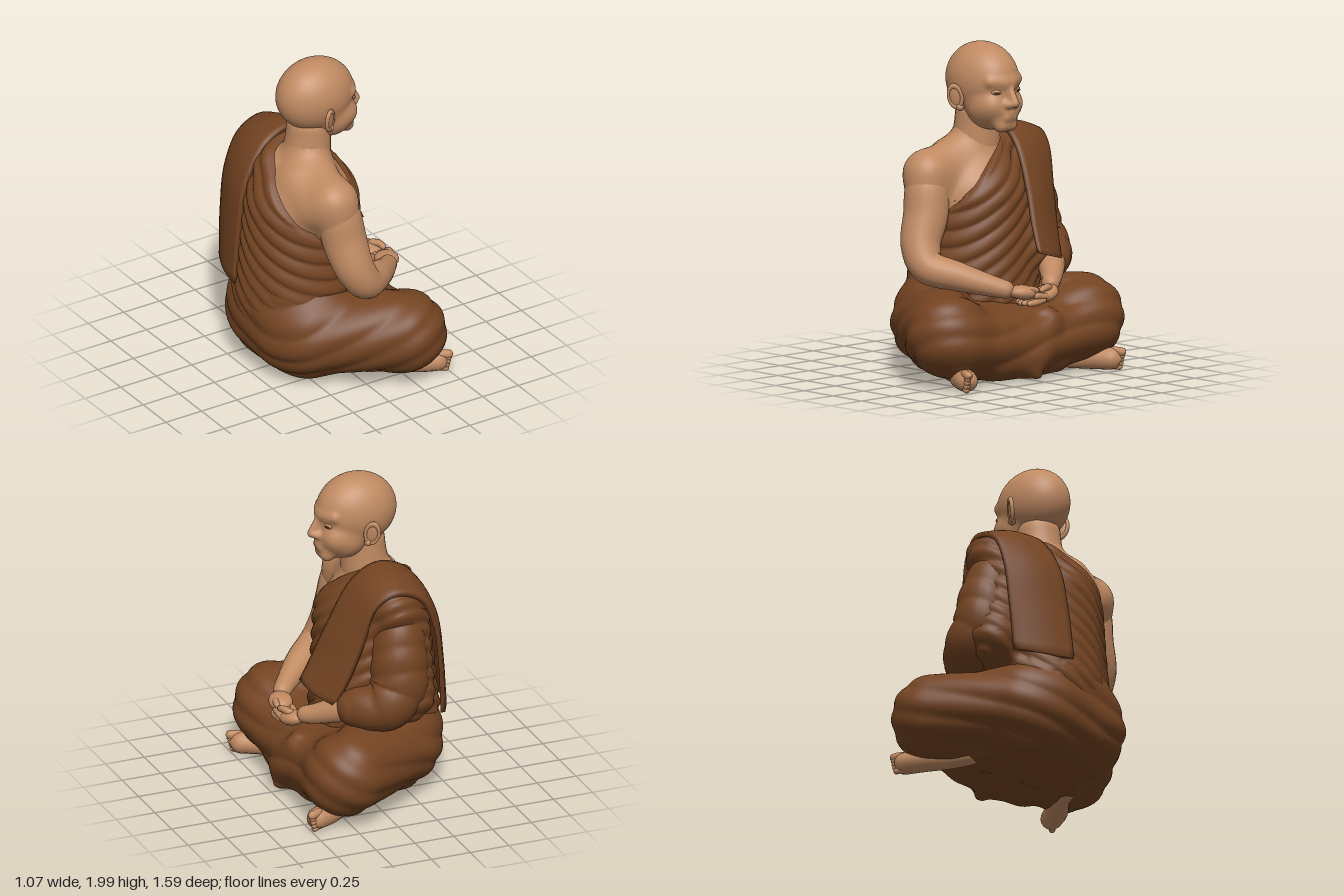
import * as THREE from 'three';
import { mergeVertices } from 'three/addons/utils/BufferGeometryUtils.js';

const skin = new THREE.MeshStandardMaterial({ color: 0xc08a62 });
skin.name = 'skin';
const robe = new THREE.MeshStandardMaterial({ color: 0x744422 });
robe.name = 'robe cloth';
const dark = new THREE.MeshStandardMaterial({ color: 0x3c2415 });
dark.name = 'eye brown';

const V = (x, y, z) => new THREE.Vector3(x, y, z);

// Distance to an ellipsoid (6 numbers) or a tapered capsule (8 numbers)
function distance(p, s) {
  if (s.length === 6) {
    const [x, y, z] = [p.x - s[0], p.y - s[1], p.z - s[2]];
    const k0 = Math.hypot(x / s[3], y / s[4], z / s[5]);
    const k1 = Math.hypot(x / s[3] ** 2, y / s[4] ** 2, z / s[5] ** 2);
    return k1 < 1e-6 ? -Math.min(s[3], s[4], s[5]) : k0 * (k0 - 1) / k1;
  }
  const [ax, ay, az, ar, bx, by, bz, br] = s;
  const dx = bx - ax, dy = by - ay, dz = bz - az;
  const t = THREE.MathUtils.clamp(((p.x - ax) * dx + (p.y - ay) * dy + (p.z - az) * dz) / (dx * dx + dy * dy + dz * dz), 0, 1);
  return Math.hypot(p.x - ax - dx * t, p.y - ay - dy * t, p.z - az - dz * t) - ar - (br - ar) * t;
}

// Smoothly blended body made of simple volumes
const blend = (shapes, k) => p => shapes.reduce((a, s) => {
  const b = distance(p, s), h = Math.max(k - Math.abs(a - b), 0) / k;
  return Math.min(a, b) - h * h * k / 4;
}, 10);

// Walk inwards along a ray until the surface is met
function cast(center, dir, field) {
  let t = 1.3;
  const p = V(0, 0, 0);
  for (let i = 0; i < 90; i++) {
    const d = field(p.copy(center).addScaledVector(dir, t));
    if (Math.abs(d) < 0.0004) break;
    t = Math.max(0.02, t - d * 0.55);
  }
  return p.copy(center).addScaledVector(dir, t);
}

// Sphere shrunk onto a blended body
function blob(name, mat, center, field, detail) {
  let g = new THREE.IcosahedronGeometry(1, detail);
  g.deleteAttribute('uv');
  g.deleteAttribute('normal');
  g = mergeVertices(g, 1e-4);
  const pos = g.attributes.position, d = V(0, 0, 0);
  for (let i = 0; i < pos.count; i++) {
    const p = cast(center, d.fromBufferAttribute(pos, i).normalize(), field);
    pos.setXYZ(i, p.x, p.y, p.z);
  }
  g.computeVertexNormals();
  return named(new THREE.Mesh(g, mat), name);
}

function named(o, name) {
  o.name = name;
  return o;
}

// Closed skin over a row of rings, always wound outwards
function loft(name, mat, rings) {
  const m = rings[0].length, pts = rings.flat(), idx = [];
  for (let i = 0; i < rings.length - 1; i++) for (let j = 0; j < m; j++) {
    const a = i * m + j, b = i * m + (j + 1) % m;
    idx.push(a, b, a + m, b, b + m, a + m);
  }
  [0, rings.length - 1].forEach((r, end) => {
    const c = rings[r].reduce((s, p) => s.add(p), V(0, 0, 0)).divideScalar(m);
    pts.push(c);
    for (let j = 0; j < m; j++) {
      const a = r * m + j, b = r * m + (j + 1) % m;
      idx.push(pts.length - 1, end ? a : b, end ? b : a);
    }
  });
  let vol = 0;
  for (let i = 0; i < idx.length; i += 3) vol += pts[idx[i]].dot(pts[idx[i + 1]].clone().cross(pts[idx[i + 2]]));
  if (vol < 0) idx.reverse();
  const g = new THREE.BufferGeometry().setFromPoints(pts);
  g.setIndex(idx);
  g.computeVertexNormals();
  return named(new THREE.Mesh(g, mat), name);
}

// Round-ended limb through points [x, y, z, radius]; flat squashes its height
function limb(name, mat, path, { flat = 1, n = 26, m = 16, ripple = 0 } = {}) {
  const curve = new THREE.CatmullRomCurve3(path.map(p => V(p[0], p[1], p[2])));
  const radii = new THREE.CatmullRomCurve3(path.map((p, i) => V(p[3], i * 0.1, 0)));
  const frames = curve.computeFrenetFrames(n), len = curve.getLength(), rings = [];
  for (let i = 0; i <= n; i++) {
    const u = i / n, c = curve.getPointAt(u);
    let r = radii.getPoint(curve.getUtoTmapping(u)).x;
    const e = Math.min(1, Math.min(u, 1 - u) * len / r);
    r *= Math.max(0.08, Math.sqrt(1 - (1 - e) ** 2));
    rings.push(Array.from({ length: m }, (_, j) => {
      const a = j / m * Math.PI * 2;
      const rr = r * (1 + ripple * Math.abs(Math.sin(u * 20 + Math.sin(a) * 1.5)));
      const o = frames.normals[i].clone().multiplyScalar(Math.cos(a) * rr).addScaledVector(frames.binormals[i], Math.sin(a) * rr);
      o.y *= flat;
      return o.add(c);
    }));
  }
  return loft(name, mat, rings);
}

export function createModel() {
  const model = named(new THREE.Group(), 'seatedMonk');
  const add = (...o) => model.add(...o);
  const both = f => [1, -1].forEach(f);

  // Torso and the robe wrapped over the left shoulder
  const torsoShapes = [
    [-0.15, 0.5, -0.02, 0.365, -0.14, 1.05, 0, 0.32],
    [-0.15, 1.23, 0.35, 0.115, -0.15, 1.245, -0.38, 0.13],
    [-0.13, 1.2, 0, 0.2, -0.1, 1.48, 0, 0.125],
    [-0.12, 1.36, 0.06, 0.1, -0.14, 1.24, 0.35, 0.115],
    [-0.235, 1.28, 0.12, 0.105, -0.21, 1.17, 0.27, 0.115],
    [-0.235, 1.28, -0.12, 0.105, -0.21, 1.17, -0.27, 0.115],
  ];
  const body = blend([...torsoShapes, [-0.13, 1.22, 0.365, 0.12, -0.11, 1.05, 0.4, 0.12]], 0.08);
  const wrapped = blend([...torsoShapes, [-0.1, 1.36, -0.2, 0.08, -0.1, 1.3, -0.42, 0.09],
    [-0.2, 1.1, -0.36, 0.13, -0.18, 0.72, -0.43, 0.15], [-0.06, 1.15, -0.28, 0.14, 0.03, 0.75, -0.27, 0.16]], 0.08);
  const middle = V(-0.14, 0.9, 0);
  add(blob('torso', skin, middle, body, 24));
  add(blob('upperRobe', robe, middle, p => {
    const edge = 1.34 - 0.72 * p.z - 0.9 * Math.max(p.z, 0) ** 2;
    const out = 1 - THREE.MathUtils.smoothstep(p.y, edge - 0.02, edge + 0.02);
    const fold = 0.015 * Math.abs(Math.sin(31 * (p.y + 0.7 * p.z) + 1.2 * Math.sin(5 * p.x)));
    return wrapped(p) - (-0.03 + out * (0.046 + fold));
  }, 41));

  // Hips, crossed legs, lap and central pleat under cloth
  const legShapes = [
    [-0.22, 0.31, 0.12, 0.295, -0.22, 0.31, -0.12, 0.295], [-0.19, 0.5, 0.04, 0.32, -0.19, 0.45, -0.04, 0.32],
    [0.16, 0.3, -0.2, 0.165, 0.16, 0.3, 0.2, 0.165], [0.4, 0.38, -0.13, 0.045, 0.435, 0.07, 0.02, 0.04],
    [0.05, 0.13, 0.25, 0.11, 0.05, 0.13, -0.25, 0.11], [0.3, 0.13, 0.22, 0.09, 0.3, 0.13, -0.22, 0.09],
  ];
  both(s => legShapes.push(
    [-0.2, 0.32, s * 0.25, 0.24, 0.24, 0.33, s * 0.545, 0.235],
    [0.28, 0.27, s * 0.5, 0.195, 0.28, 0.215, 0, 0.18],
    [-0.2, 0.15, s * 0.2, 0.12, 0.2, 0.16, s * 0.38, 0.11]));
  const legs = blend(legShapes, 0.08);
  add(blob('lowerRobe', robe, V(0, 0.25, 0), p => {
    const fold = 0.014 * Math.abs(Math.sin(19 * (p.y - 0.5 * p.x) + 1.5 * Math.sin(4 * p.z)));
    return Math.max(legs(p) - fold, 0.03 - p.y);
  }, 38));

  // Folded sash: stations of [inner edge, outer edge], front hem to back hem
  const stations = [
    [0.36, 0.76, -0.09, 0.26, 0.69, -0.36], [0.285, 0.93, -0.11, 0.18, 0.88, -0.4],
    [0.21, 1.12, -0.14, 0.11, 1.1, -0.435], [0.06, 1.4, -0.17, 0.03, 1.34, -0.47],
    [-0.09, 1.49, -0.18, -0.09, 1.42, -0.5], [-0.28, 1.43, -0.17, -0.26, 1.36, -0.5],
    [-0.44, 1.2, -0.15, -0.36, 1.16, -0.5], [-0.5, 0.9, -0.13, -0.4, 0.88, -0.49],
    [-0.54, 0.57, -0.12, -0.42, 0.57, -0.47],
  ];
  const inner = new THREE.CatmullRomCurve3(stations.map(s => V(s[0], s[1], s[2])));
  const outer = new THREE.CatmullRomCurve3(stations.map(s => V(s[3], s[4], s[5])));
  const sash = Array.from({ length: 49 }, (_, i) => {
    const a = inner.getPoint(i / 48), b = outer.getPoint(i / 48), top = [], under = [];
    const inward = V(-0.1, Math.min(1.0, a.y), -0.3).sub(a.clone().lerp(b, 0.5)).normalize();
    for (let j = 0; j <= 10; j++) {
      const p = a.clone().lerp(b, j / 10).addScaledVector(inward, -0.022 * Math.sin(j / 10 * Math.PI));
      top.push(p);
      under.unshift(p.clone().addScaledVector(inward, 0.03));
    }
    return [...top, ...under];
  });
  add(loft('shoulderSash', robe, sash));

  // Arms
  add(limb('rightArm', skin, [[-0.14, 1.28, 0.345, 0.08], [-0.12, 1.16, 0.38, 0.128], [-0.1, 1.0, 0.405, 0.135], [-0.07, 0.82, 0.475, 0.12],
    [0, 0.705, 0.485, 0.105], [0.15, 0.65, 0.38, 0.088], [0.31, 0.59, 0.23, 0.062], [0.39, 0.56, 0.14, 0.05]], { n: 48, m: 22 }));
  add(limb('leftForearm', skin, [[0.1, 0.69, -0.41, 0.09], [0.2, 0.645, -0.33, 0.082], [0.31, 0.59, -0.23, 0.062], [0.39, 0.56, -0.14, 0.05]]));
  add(limb('leftSleeve', robe, [[-0.14, 1.28, -0.38, 0.1], [-0.14, 1.16, -0.41, 0.14], [-0.13, 1.0, -0.445, 0.165], [-0.11, 0.8, -0.475, 0.17],
    [-0.03, 0.7, -0.48, 0.16], [0.11, 0.675, -0.4, 0.13], [0.22, 0.67, -0.32, 0.105]], { n: 70, m: 28, ripple: 0.05 }));

  // Hands resting one on the other, thumbs touching
  both(s => {
    const lift = s > 0 ? 0.03 : 0;
    const hand = named(new THREE.Group(), s > 0 ? 'rightHand' : 'leftHand');
    hand.add(limb('palm', skin, [[0.37, 0.56, s * 0.18, 0.05], [0.4, 0.525 + lift, s * 0.1, 0.072], [0.41, 0.5 + lift, s * 0.01, 0.066]], { flat: 0.6 }));
    for (let i = 0; i < 4; i++) {
      const x = 0.36 + 0.032 * i, tip = 0.1 + 0.015 * Math.sin(i * 1.1);
      hand.add(limb('finger', skin, [[x, 0.505 + lift, s * 0.05, 0.022], [x, 0.49 + lift, -s * 0.04, 0.021], [x - 0.005, 0.488 + lift, -s * tip, 0.016]], { n: 12, m: 10 }));
    }
    hand.add(limb('thumb', skin, [[0.41, 0.555, s * 0.12, 0.026], [0.445, 0.57, s * 0.06, 0.021], [0.455, 0.555, s * 0.004, 0.017]], { n: 12, m: 10 }));
    add(hand);
  });

  // Feet tucked below the shins
  both(s => {
    const foot = named(new THREE.Group(), s > 0 ? 'rightFoot' : 'leftFoot');
    foot.add(limb('sole', skin, [[0.04, 0.065, s * 0.36, 0.05], [0.2, 0.075, s * 0.43, 0.06], [0.36, 0.083, s * 0.54, 0.07], [0.51, 0.08, s * 0.61, 0.062]]));
    for (let i = 0; i < 5; i++) {
      const y = 0.035 + i * 0.023, r = i === 4 ? 0.026 : 0.019;
      foot.add(limb('toe', skin, [[0.43, y, s * 0.585, r], [0.47, y, s * 0.61, r], [0.5 + i * 0.007, y - 0.004, s * 0.63, r]], { n: 10, m: 10 }));
    }
    add(foot);
  });

  // Neck and head with brow, nose, lips and cheeks
  add(limb('neck', skin, [[-0.13, 1.26, 0, 0.17], [-0.1, 1.42, 0, 0.145], [-0.09, 1.52, 0, 0.135], [-0.08, 1.7, 0, 0.13]], { m: 24 }));
  const face = [
    [-0.045, 1.775, 0, 0.248, 0.223, 0.19], [0.045, 1.63, 0, 0.16, 0.15, 0.163],
    [0.155, 1.522, 0.035, 0.044, 0.155, 1.522, -0.035, 0.044],
    [0.13, 1.58, 0, 0.075, 0.07, 0.09],
    [0.205, 1.735, 0, 0.018, 0.24, 1.658, 0, 0.026],
    [0.2, 1.598, 0, 0.01, 0.178, 1.604, 0.055, 0.008], [0.2, 1.598, 0, 0.01, 0.178, 1.604, -0.055, 0.008],
    [0.196, 1.568, 0.03, 0.011, 0.196, 1.568, -0.03, 0.011],
  ];
  both(s => face.push(
    [0.1, 1.64, s * 0.08, 0.09, 0.075, 0.07],
    [0.182, 1.78, s * 0.025, 0.027, 0.14, 1.785, s * 0.11, 0.026],
    [0.215, 1.648, s * 0.028, 0.018, 0.2, 1.65, s * 0.032, 0.016]));
  const headField = blend(face, 0.03), headCenter = V(-0.04, 1.72, 0);
  add(blob('head', skin, headCenter, headField, 36));

  // Eyes and ears
  both(s => {
    const hit = cast(headCenter, V(0.22, 0.005, s * 0.088).normalize(), headField);
    const lid = named(new THREE.Mesh(new THREE.SphereGeometry(1, 20, 12), skin), 'eyelid');
    lid.scale.set(0.01, 0.016, 0.032);
    lid.position.copy(hit);
    lid.rotation.y = -s * 0.4;
    const eye = named(new THREE.Mesh(new THREE.SphereGeometry(1, 16, 10), dark), 'eye');
    eye.scale.set(0.004, 0.006, 0.022);
    eye.position.copy(hit).add(V(0.009, -0.003, s * 0.004));
    eye.rotation.y = -s * 0.4;
    const ear = named(new THREE.Group(), 'ear');
    const rim = named(new THREE.Mesh(new THREE.TorusGeometry(0.04, 0.011, 10, 28), skin), 'earRim');
    rim.scale.set(1, 1.6, 1.2);
    const shell = named(new THREE.Mesh(new THREE.SphereGeometry(1, 20, 14), skin), 'earShell');
    shell.scale.set(0.04, 0.068, 0.013);
    const lobe = named(new THREE.Mesh(new THREE.SphereGeometry(0.024, 14, 10), skin), 'earLobe');
    lobe.position.set(0.014, -0.068, -s * 0.004);
    ear.add(rim, shell, lobe);
    ear.position.set(-0.065, 1.685, s * 0.2);
    ear.rotation.set(s * 0.12, s * 0.55, 0.12);
    add(lid, eye, ear);
  });
  return model;
}
